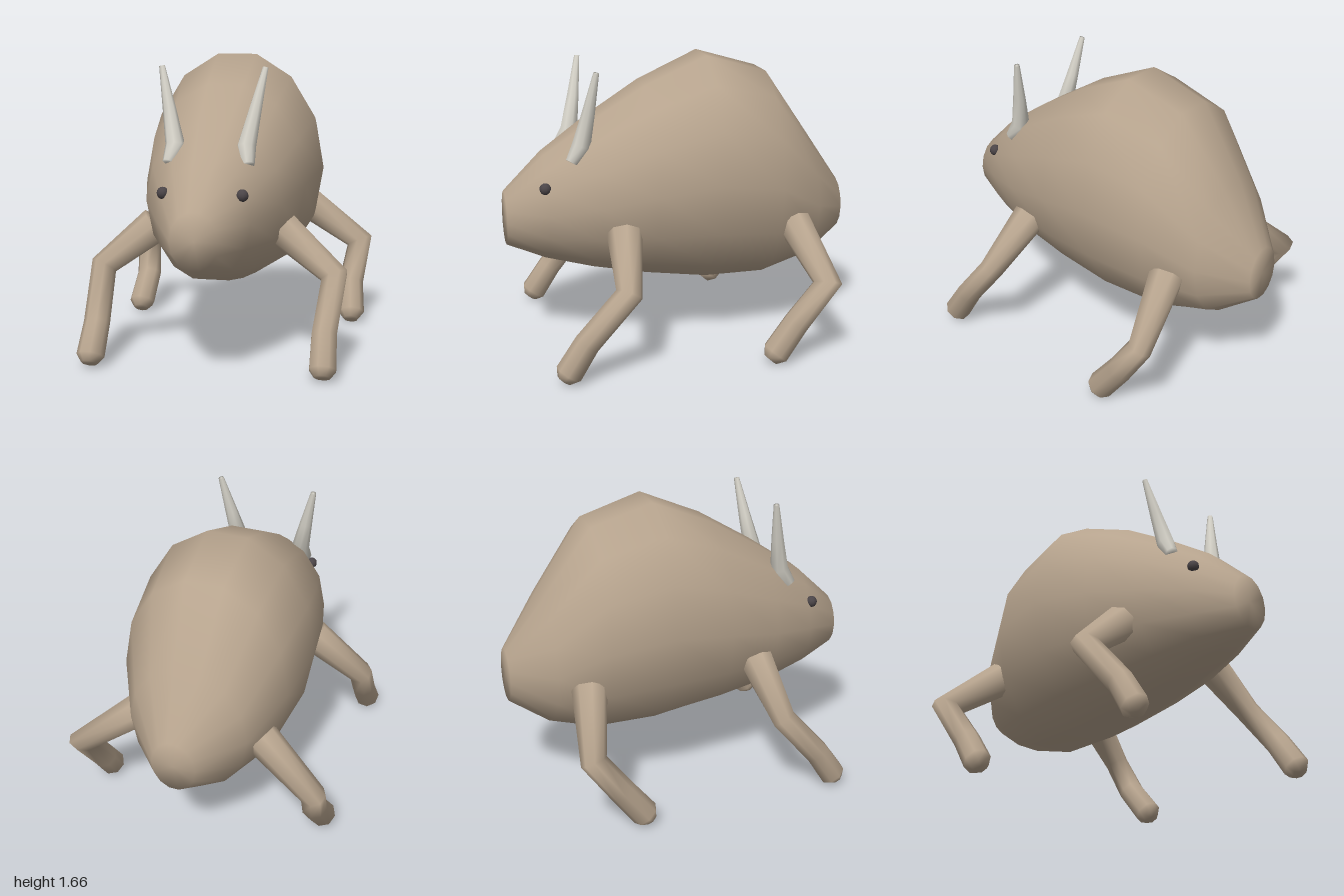
import * as THREE from 'three';

const paint = (name, color) => Object.assign(new THREE.MeshStandardMaterial({ color }), { name });

// Skin a list of rings (arrays of Vector3) and close both ends
function loft(rings) {
  const n = rings[0].length, pos = [], idx = [];
  rings.forEach(r => r.forEach(p => pos.push(p.x, p.y, p.z)));
  for (let j = 0; j < rings.length - 1; j++)
    for (let i = 0; i < n; i++) {
      const a = j * n + i, b = j * n + (i + 1) % n;
      idx.push(a, a + n, b, b, a + n, b + n);
    }
  [0, rings.length - 1].forEach((j, end) => {
    const c = rings[j].reduce((s, p) => s.add(p), new THREE.Vector3()).divideScalar(n);
    const k = pos.length / 3;
    pos.push(c.x, c.y, c.z);
    for (let i = 0; i < n; i++) {
      const a = j * n + i, b = j * n + (i + 1) % n;
      end ? idx.push(k, b, a) : idx.push(k, a, b);
    }
  });
  const g = new THREE.BufferGeometry();
  g.setAttribute('position', new THREE.Float32BufferAttribute(pos, 3));
  g.setIndex(idx);
  g.computeVertexNormals();
  return g;
}

// Tapered limb through [x, y, z, radius] points with mitred joints
function limb(points, side, sides) {
  const P = points.map(p => new THREE.Vector3(p[0] * side, p[1], p[2]));
  const u = new THREE.Vector3(0, 0, 1);
  const rings = P.map((p, j) => {
    const t2 = P[Math.min(j + 1, P.length - 1)].clone().sub(P[Math.min(j, P.length - 2)]).normalize();
    const t1 = j ? p.clone().sub(P[j - 1]).normalize() : t2.clone();
    const t = t1.clone().add(t2).normalize();
    const bend = t2.clone().sub(t1).normalize();
    const stretch = 1 / t.dot(t1) - 1;
    u.addScaledVector(t, -u.dot(t)).normalize();
    const v = u.clone().cross(t);
    return Array.from({ length: sides }, (_, i) => {
      const a = i / sides * Math.PI * 2;
      const d = u.clone().multiplyScalar(Math.cos(a)).addScaledVector(v, Math.sin(a)).multiplyScalar(points[j][3]);
      d.addScaledVector(bend, d.dot(bend) * stretch);
      return d.add(p);
    });
  });
  return loft(rings);
}

export function createModel() {
  const model = new THREE.Group();
  const hide = paint('tan hide', 0xb7a48e);
  const ivory = paint('ivory', 0xd8d5cb);
  const dark = paint('dark eye', 0x4b4548);
  const add = (name, geometry, material) => {
    const m = new THREE.Mesh(geometry, material);
    m.name = name;
    model.add(m);
    return m;
  };

  // Body sections from snout to rump: z, half width, top, bottom
  const sections = [
    [1, 0.13, 0.94, 0.635], [0.78, 0.255, 1.15, 0.545], [0.51, 0.38, 1.335, 0.475],
    [0.2, 0.46, 1.525, 0.415], [-0.155, 0.515, 1.68, 0.365], [-0.51, 0.475, 1.575, 0.36],
    [-0.78, 0.335, 1.19, 0.43], [-1, 0.125, 0.88, 0.575],
  ];
  const SIDES = 14;
  add('body', loft(sections.map(([z, w, top, bottom]) =>
    Array.from({ length: SIDES }, (_, i) => {
      const a = i / SIDES * Math.PI * 2;
      return new THREE.Vector3(w * Math.cos(a),
        (top + bottom) / 2 + (top - bottom) / 1.95 * Math.sin(a), z);
    }))), hide);

  const frontLeg = [
    [0.36, 0.75, 0.385, 0.1], [0.655, 0.51, 0.43, 0.07], [0.63, 0.24, 0.66, 0.072],
    [0.637, 0.08, 0.765, 0.077], [0.637, 0.045, 0.79, 0.045],
  ];
  const rearLeg = [
    [0.36, 0.73, -0.615, 0.1], [0.69, 0.475, -0.695, 0.07], [0.655, 0.24, -0.53, 0.075],
    [0.672, 0.08, -0.405, 0.079], [0.672, 0.045, -0.375, 0.045],
  ];
  const horn = [
    [0.215, 1.14, 0.645, 0.036], [0.195, 1.23, 0.585, 0.052],
    [0.235, 1.42, 0.55, 0.036], [0.283, 1.645, 0.512, 0.016],
  ];

  // Mirrored limbs, horns and eyes
  for (const [side, label] of [[1, 'left'], [-1, 'right']]) {
    add(label + 'FrontLeg', limb(frontLeg, side, 8), hide);
    add(label + 'RearLeg', limb(rearLeg, side, 8), hide);
    add(label + 'Horn', limb(horn, side, 8), ivory);
    const eye = add(label + 'Eye', new THREE.SphereGeometry(0.033, 10, 8), dark);
    eye.position.set(0.212 * side, 1, 0.795);
  }
  return model;
}
